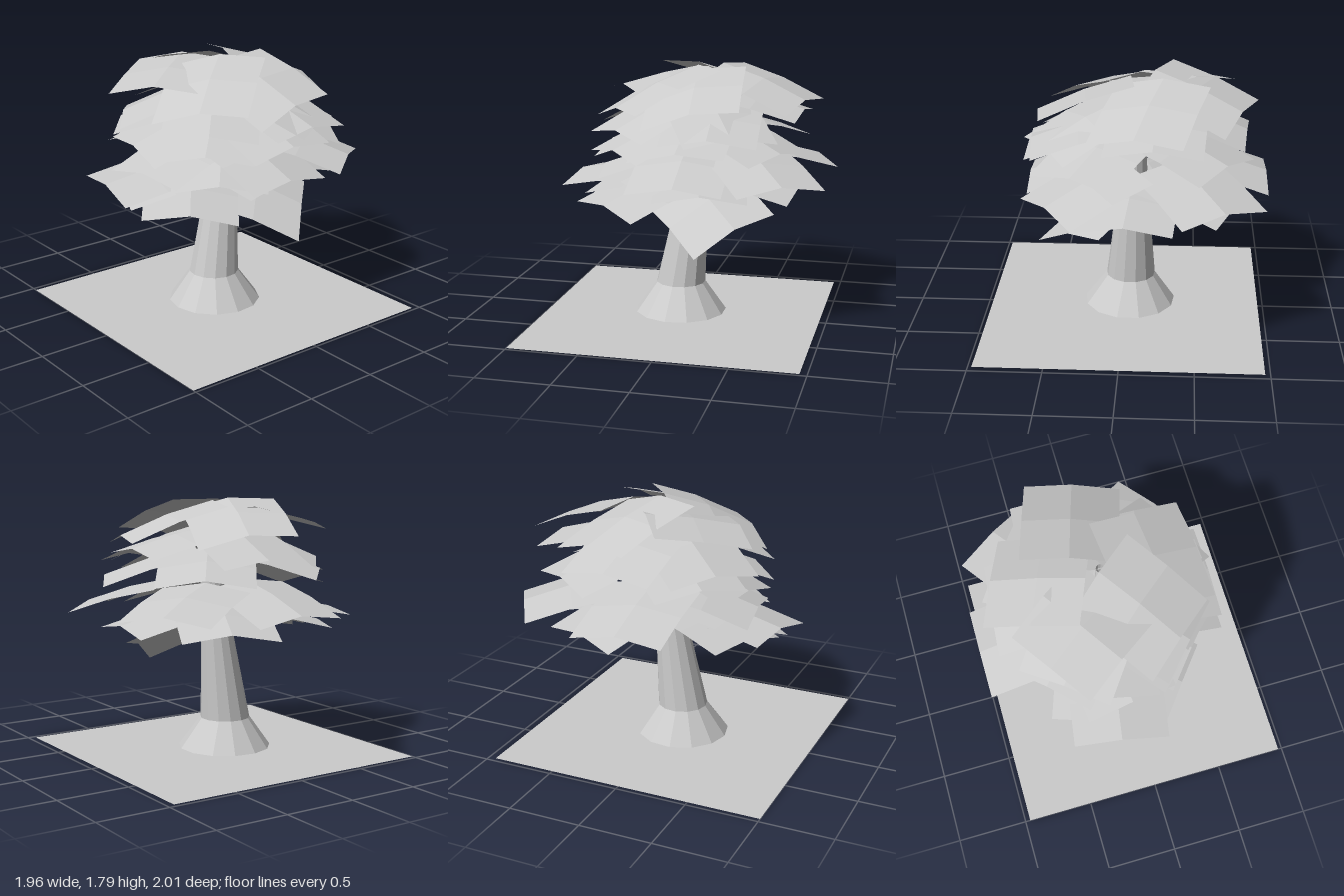
import * as THREE from 'three';

const material = new THREE.MeshStandardMaterial({
  color: 0xcccccc, flatShading: true, side: THREE.DoubleSide,
});

// Foliage tiers: [centre x, centre z, yaw in degrees (0 = front), inner y, outer y, roll]
const tiers = {
  crown: [
    [-0.18, -0.49, 164, 1.78, 1.56, 0.02],
    [-0.48, -0.15, -112, 1.79, 1.58, 0.04],
    [0.257, -0.11, 96.5, 1.76, 1.54, 0.07],
    [0.085, 0.175, 40, 1.78, 1.52, 0.04],
    [-0.31, 0.23, 36, 1.74, 1.63, 0.02],
  ],
  upper: [
    [0.24, -0.25, 120, 1.62, 1.38],
    [0.13, 0.19, 48, 1.60, 1.38],
    [-0.30, 0.23, -38, 1.62, 1.39],
    [-0.50, -0.12, -95, 1.63, 1.42],
    [-0.23, -0.46, 176, 1.62, 1.48],
  ],
  middle: [
    [0.33, -0.07, 90, 1.48, 1.29, 0.02],
    [0.29, -0.24, 95, 1.56, 1.38],
    [0.13, 0.20, 45, 1.45, 1.24],
    [-0.17, 0.28, -8, 1.42, 1.22, -0.03],
    [-0.385, 0.20, -43, 1.48, 1.32],
    [-0.42, -0.35, -125, 1.46, 1.30],
    [0.16, -0.42, 150, 1.45, 1.26],
  ],
  lower: [
    [-0.65, 0.00, -90, 1.25, 1.07, 0.01],
    [-0.50, -0.56, -148, 1.24, 1.09],
    [0.22, -0.55, 126, 1.25, 1.07],
    [0.33, -0.04, 92, 1.27, 1.06],
    [0.17, 0.15, 50, 1.20, 1.04],
    [-0.12, 0.30, 8, 1.24, 1.06],
  ],
  skirt: [
    [-0.16, 0.515, -9, 1.09, 0.99, -0.02],
    [-0.21, 0.345, -20, 1.05, 0.92, -0.03],
    [0.055, 0.32, 52, 1.00, 0.84, -0.02],
    [0.10, -0.12, 100, 1.08, 0.96],
    [-0.46, -0.24, -115, 1.10, 0.95],
    [-0.05, -0.45, 175, 1.08, 0.95],
    [0.14, -0.18, 135, 0.98, 0.74, 0.11],
  ],
};

// A square sheet that droops outward and curls down at its sides
function leafSheet([cx, cz, yawDeg, yIn, yOut, roll = 0]) {
  const geo = new THREE.PlaneGeometry(2, 1, 2, 2);
  const p = geo.attributes.position;
  const yaw = THREE.MathUtils.degToRad(yawDeg);
  const dx = Math.sin(yaw), dz = Math.cos(yaw);
  for (let i = 0; i < p.count; i++) {
    const s = p.getX(i), t = 0.5 - p.getY(i);
    const out = 0.33 - 0.63 * (1 - t), across = 0.322 * s;
    const y = yIn + (yOut - yIn) * (0.6 * t + 0.4 * t * t) - 0.05 * s * s + roll * s;
    p.setXYZ(i, cx + dx * out + dz * across, y, cz + dz * out - dx * across);
  }
  geo.computeVertexNormals();
  return new THREE.Mesh(geo, material);
}

// Flared trunk leaning gently backwards
function trunk() {
  const profile = [[0.325, 0.02], [0.175, 0.23], [0.112, 0.85], [0.075, 1.3], [0.03, 1.65]]
    .map(([r, y]) => new THREE.Vector2(r, y));
  const geo = new THREE.LatheGeometry(profile, 13);
  const p = geo.attributes.position;
  for (let i = 0; i < p.count; i++) {
    const y = p.getY(i);
    p.setX(i, p.getX(i) - 0.03 - 0.03 * y);
    p.setZ(i, p.getZ(i) + 0.055 - 0.13 * Math.max(0, y - 0.23));
  }
  geo.computeVertexNormals();
  const mesh = new THREE.Mesh(geo, material);
  mesh.name = 'trunk';
  return mesh;
}

export function createModel() {
  const model = new THREE.Group();
  model.name = 'tree';

  // Flat ground sheet
  const ground = new THREE.Mesh(new THREE.PlaneGeometry(1.94, 1.95), material);
  ground.name = 'ground';
  ground.rotation.x = -Math.PI / 2;
  ground.position.set(0.005, 0, 0.025);
  model.add(ground, trunk());

  // Overlapping tiers of foliage
  for (const [name, leaves] of Object.entries(tiers)) {
    const tier = new THREE.Group();
    tier.name = `${name}Foliage`;
    leaves.forEach((leaf, i) => {
      const sheet = leafSheet(leaf);
      sheet.name = `${name}Leaf${i + 1}`;
      tier.add(sheet);
    });
    model.add(tier);
  }
  return model;
}
